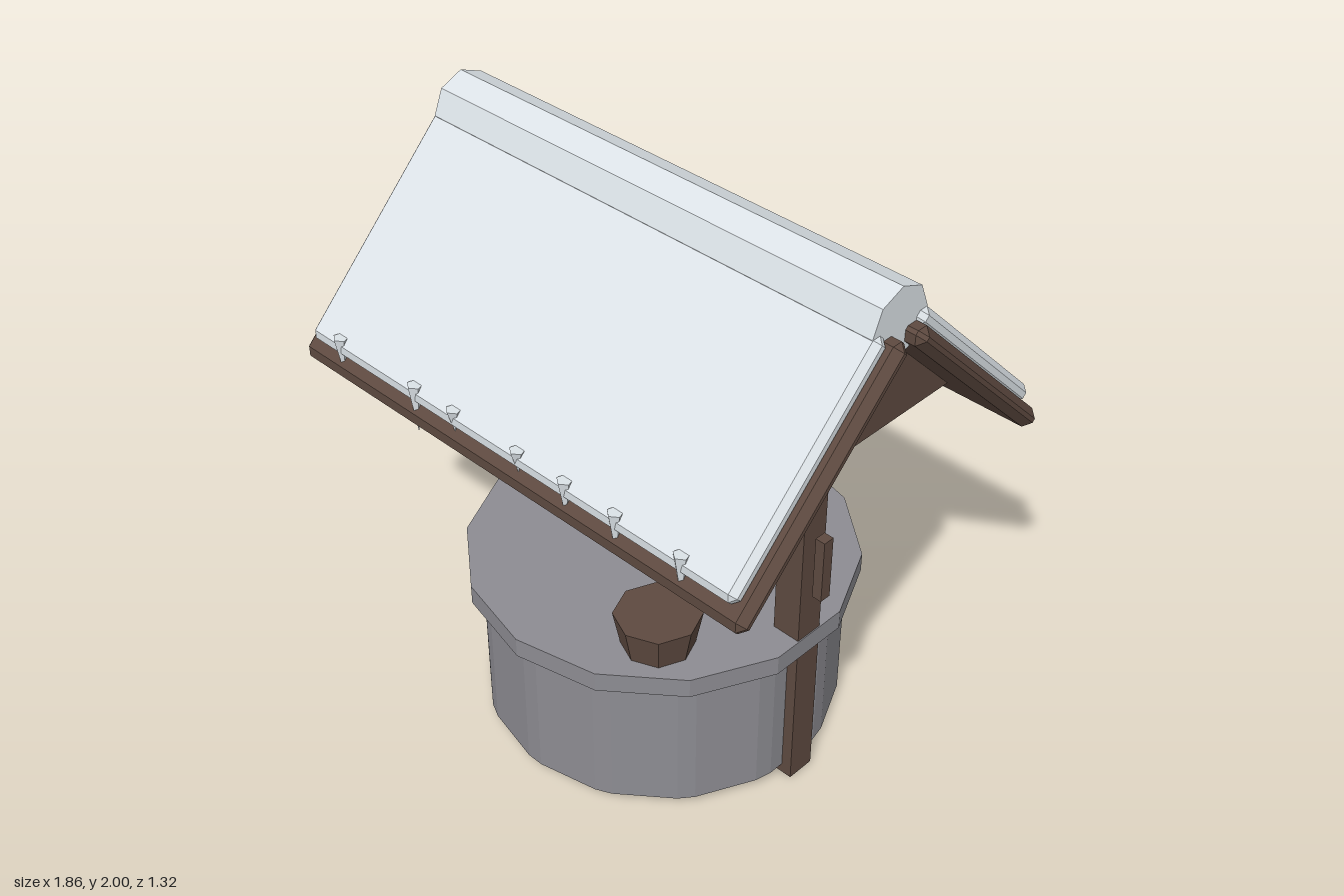
import * as THREE from 'three';
import { ConvexGeometry } from 'three/addons/geometries/ConvexGeometry.js';

const material = (name, color) => {
  const m = new THREE.MeshStandardMaterial({ color });
  m.name = name;
  return m;
};

// Faceted normals for low-poly parts
function faceted(geometry) {
  const g = geometry.index ? geometry.toNonIndexed() : geometry;
  g.computeVertexNormals();
  return g;
}

// Box with every edge chamfered by c
function chamferBox(w, h, d, c) {
  const points = [];
  const half = [w / 2, h / 2, d / 2];
  for (const sx of [-1, 1]) for (const sy of [-1, 1]) for (const sz of [-1, 1]) {
    for (let full = 0; full < 3; full++) {
      const p = half.map((v, i) => (i === full ? v : v - c));
      points.push(new THREE.Vector3(p[0] * sx, p[1] * sy, p[2] * sz));
    }
  }
  return new ConvexGeometry(points);
}

// Upright prism or cone with flat sides
const prism = (top, bottom, height, sides) =>
  faceted(new THREE.CylinderGeometry(top, bottom, height, sides));

// Chamfered fourteen-sided drum standing on y = 0
function drum(radius, height, sides, bevel) {
  const corners = Array.from({ length: sides }, (_, i) => {
    const a = Math.PI / 2 + (i / sides) * Math.PI * 2;
    return new THREE.Vector2(Math.cos(a) * radius, Math.sin(a) * radius);
  });
  const outline = [];
  corners.forEach((p, i) => {
    const next = corners[(i + 1) % sides];
    outline.push(p.clone().lerp(next, 0.11), p.clone().lerp(next, 0.89));
  });
  const g = new THREE.ExtrudeGeometry(new THREE.Shape(outline), {
    depth: height - 2 * bevel, bevelEnabled: true, bevelSegments: 1,
    bevelThickness: bevel, bevelSize: bevel, bevelOffset: -bevel,
  });
  g.translate(0, 0, bevel);
  g.rotateX(-Math.PI / 2);
  return faceted(g);
}

export function createModel() {
  const model = new THREE.Group();
  model.name = 'snowyWell';
  const wood = material('wood', 0x5e4a40);
  const stone = material('stone', 0x8d8c92);
  const snow = material('snow', 0xe6edf2);

  const add = (name, geometry, mat, x = 0, y = 0, z = 0, parent = model) => {
    const mesh = new THREE.Mesh(geometry, mat);
    mesh.name = name;
    mesh.position.set(x, y, z);
    parent.add(mesh);
    return mesh;
  };

  // Stone well
  add('wellWall', drum(0.607, 0.56, 14, 0.035), stone);
  add('wellRim', prism(0.65, 0.65, 0.07, 14), stone, 0, 0.575, 0);

  // Posts
  for (const side of [1, -1]) {
    add(side > 0 ? 'leftPost' : 'rightPost', new THREE.BoxGeometry(0.1, 1.45, 0.1),
      wood, side * 0.58, 0.725, 0);
  }

  // Winch: hexagonal axle, rope and crank
  const axle = prism(0.061, 0.061, 1.16, 6);
  axle.rotateZ(Math.PI / 2);
  add('axle', axle, wood, 0, 0.993, 0);
  add('rope', prism(0.01, 0.01, 0.32, 6), wood, 0, 0.805, 0);
  add('crankHandle', new THREE.BoxGeometry(0.035, 0.23, 0.04), wood, 0.667, 0.905, 0);

  // Bucket resting on the rim
  add('bucket', prism(0.14, 0.115, 0.13, 8), wood, 0.32, 0.665, 0.35);

  // Solid gable under the roof
  const triangle = new THREE.Shape([
    new THREE.Vector2(-0.475, 1.37), new THREE.Vector2(0.475, 1.37), new THREE.Vector2(0, 1.845),
  ]);
  const gable = new THREE.ExtrudeGeometry(triangle, { depth: 1.44, bevelEnabled: false });
  gable.translate(0, 0, -0.72);
  gable.rotateY(Math.PI / 2);
  add('gable', gable, wood);

  // Two roof slopes, each a board with a snow slab
  for (const side of [1, -1]) {
    const label = side > 0 ? 'front' : 'back';
    const slope = new THREE.Group();
    slope.name = label + 'RoofSlope';
    model.add(slope);
    const board = add(label + 'RoofBoard', chamferBox(1.86, 0.064, 0.88, 0.025), wood,
      0, 1.544, side * 0.341, slope);
    const slab = add(label + 'SnowSlab', chamferBox(1.78, 0.06, 0.8, 0.02), snow,
      0, 1.595, side * 0.36, slope);
    board.rotation.x = slab.rotation.x = side * Math.PI / 4;
  }

  // Ridge snow
  const ridge = prism(0.115, 0.115, 1.74, 8);
  ridge.rotateZ(Math.PI / 2);
  add('ridgeSnow', ridge, snow, 0, 1.885, 0);

  // Icicles on the front eave: [x, length]
  const icicles = new THREE.Group();
  icicles.name = 'icicles';
  model.add(icicles);
  [[-0.755, 0.14], [-0.405, 0.17], [-0.23, 0.08], [0.045, 0.08],
    [0.24, 0.13], [0.44, 0.15], [0.69, 0.15]].forEach(([x, length]) => {
    add('icicle', prism(0.026, 0.001, length, 5), snow, x, 1.37 - length / 2, 0.638, icicles);
  });

  return model;
}
